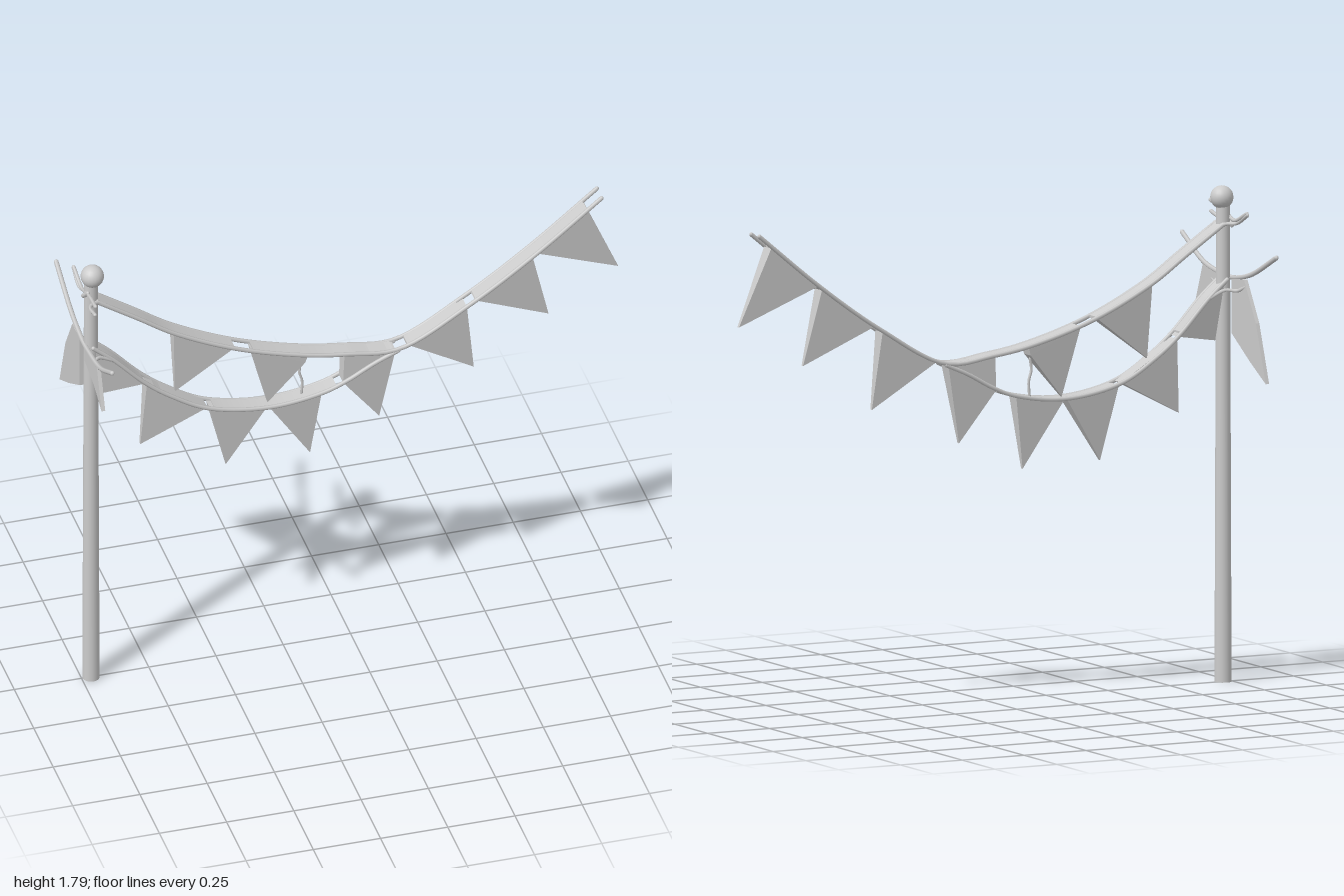
import * as THREE from 'three';
import { ConvexGeometry } from 'three/addons/geometries/ConvexGeometry.js';

const V = (x, y, z = 0) => new THREE.Vector3(x, y, z);
const curveOf = pts => new THREE.CatmullRomCurve3(pts.map(p => V(...p)));

export function createModel() {
  const model = new THREE.Group();
  const mat = new THREE.MeshStandardMaterial({ color: 0xcccccc });
  const add = (name, geo) => {
    const mesh = new THREE.Mesh(geo, mat);
    mesh.name = name;
    model.add(mesh);
    return mesh;
  };
  const cord = (name, pts, r = 0.008) => {
    const curve = curveOf(pts);
    add(name, new THREE.TubeGeometry(curve, pts.length * 6, r, 6));
    // rounded cord ends
    for (const p of [pts[0], pts[pts.length - 1]]) {
      add(name + 'End', new THREE.SphereGeometry(r, 6, 5)).position.set(...p);
    }
  };

  // Pole and ball finial
  add('pole', new THREE.CylinderGeometry(0.025, 0.031, 1.72, 20)).position.set(-0.965, 0.86, 0);
  add('finial', new THREE.SphereGeometry(0.042, 20, 14)).position.set(-0.96, 1.75, 0);

  // Flat band following a sagging line between two x positions
  const band = (name, curve, x0, x1) => {
    const pts = curve.getPoints(160).filter(p => p.x >= x0 && p.x <= x1);
    const shape = new THREE.Shape([
      ...pts.map(p => new THREE.Vector2(p.x, p.y + 0.005)),
      ...pts.reverse().map(p => new THREE.Vector2(p.x, p.y - 0.006)),
    ]);
    const geo = new THREE.ExtrudeGeometry(shape, { depth: 0.064, bevelEnabled: false });
    add(name, geo.translate(0, 0, -0.032));
  };

  const upper = [[-0.95, 1.655], [-0.8, 1.555], [-0.66, 1.46], [-0.42, 1.345], [-0.17, 1.27],
    [-0.02, 1.245], [0.17, 1.23], [0.435, 1.372], [0.675, 1.54], [0.925, 1.742]];
  const lower = [[-0.965, 1.455], [-0.89, 1.39], [-0.77, 1.265], [-0.675, 1.19], [-0.535, 1.11],
    [-0.31, 1.07], [-0.11, 1.095], [-0.02, 1.13], [0.08, 1.185], [0.17, 1.225]];

  // Twin cords along the edges of both garlands
  for (const z of [-0.031, 0.031]) {
    cord('upperCord', upper.map(([x, y]) => [x, y, z]));
    cord('lowerCord', lower.map(([x, y]) => [x, y, z]));
  }

  // Bands with small gaps between some flags
  const upperCurve = curveOf(upper), lowerCurve = curveOf(lower);
  for (const [a, b] of [[-0.95, -0.43], [-0.37, 0.07], [0.12, 0.155], [0.195, 0.405], [0.445, 0.88]]) {
    band('upperBand', upperCurve, a, b);
  }
  for (const [a, b] of [[-0.96, -0.775], [-0.74, -0.56], [-0.52, -0.06], [-0.03, 0.155]]) {
    band('lowerBand', lowerCurve, a, b);
  }

  // Wedge-shaped pennants: outline corners, wide at the cord and thin at the tip (last corner)
  const pennant = (name, corners) => {
    const pts = [];
    corners.forEach(([x, y, w = 0.028]) => pts.push(V(x, y, w), V(x, y, -w)));
    add(name, new ConvexGeometry(pts));
  };
  const T = 0.006;
  [
    [[-0.665, 1.46], [-0.44, 1.352], [-0.655, 1.19, T]],
    [[-0.375, 1.325], [-0.165, 1.268], [-0.175, 1.235, 0.025], [-0.31, 1.075, T]],
    [[-0.03, 1.243], [0.16, 1.228], [-0.035, 1.12, 0.026], [0.105, 0.935, T]],
    [[0.205, 1.24], [0.425, 1.362], [0.457, 1.08, T]],
    [[0.455, 1.385], [0.67, 1.53], [0.735, 1.258, T]],
    [[0.685, 1.545], [0.875, 1.695], [0.994, 1.415, T]],
  ].forEach(c => pennant('upperPennant', c));
  [
    [[-0.955, 1.44], [-0.88, 1.375], [-0.77, 1.262], [-0.93, 1.235, T]],
    [[-0.765, 1.255], [-0.54, 1.112], [-0.783, 0.985, T]],
    [[-0.53, 1.105], [-0.32, 1.068], [-0.465, 0.835, T]],
    [[-0.31, 1.068], [-0.115, 1.092], [-0.152, 0.825, T]],
  ].forEach(c => pennant('lowerPennant', c));

  // Loose strand hanging between the garlands
  cord('looseStrand', [[-0.185, 1.22, 0], [-0.19, 1.18, 0], [-0.18, 1.14, 0], [-0.183, 1.08, 0]], 0.005);

  // Crosswise garland behind the pole
  const X = -0.99;
  cord('crossCord', [[X, 1.575, 0.36], [X, 1.49, 0.195], [X, 1.465, 0.06], [X, 1.46, 0],
    [X, 1.465, -0.06], [X, 1.49, -0.17], [X, 1.575, -0.36]], 0.009);
  const crossPennant = corners => {
    const shape = new THREE.Shape(corners.map(([z, y]) => new THREE.Vector2(-z, y)));
    const geo = new THREE.ExtrudeGeometry(shape, { depth: 0.014, bevelEnabled: false });
    add('crossPennant', geo.rotateY(Math.PI / 2).translate(X - 0.008, 0, 0));
  };
  crossPennant([[0.19, 1.485], [0.22, 1.41], [0.25, 1.335], [0.15, 1.385], [0.03, 1.41], [0.03, 1.46]]);
  crossPennant([[-0.03, 1.46], [-0.125, 1.465], [-0.215, 1.32], [-0.29, 1.11], [-0.17, 1.175], [-0.03, 1.26]]);

  // Cord ends tied around the pole
  for (const s of [-1, 1]) {
    cord('lowerTie', [[X, 1.44, s * 0.13], [-0.98, 1.42, s * 0.08], [-0.95, 1.42, s * 0.045], [-0.89, 1.39, s * 0.031]], 0.007);
    cord('upperTie', [[X, 1.69 + s * -0.01, s * 0.14], [-0.985, 1.66, s * 0.06], [-0.95, 1.655, s * 0.033], [-0.88, 1.608, s * 0.031]], 0.007);
  }
  cord('upperTie', [[X, 1.72, 0.145], [-0.985, 1.7, 0.05], [-0.985, 1.685, 0], [-0.985, 1.67, -0.05], [X, 1.705, -0.135]], 0.007);
  cord('poleKnot', [[-0.985, 1.7, 0.03], [-0.992, 1.67, 0], [-0.985, 1.65, -0.03]], 0.008);

  return model;
}
